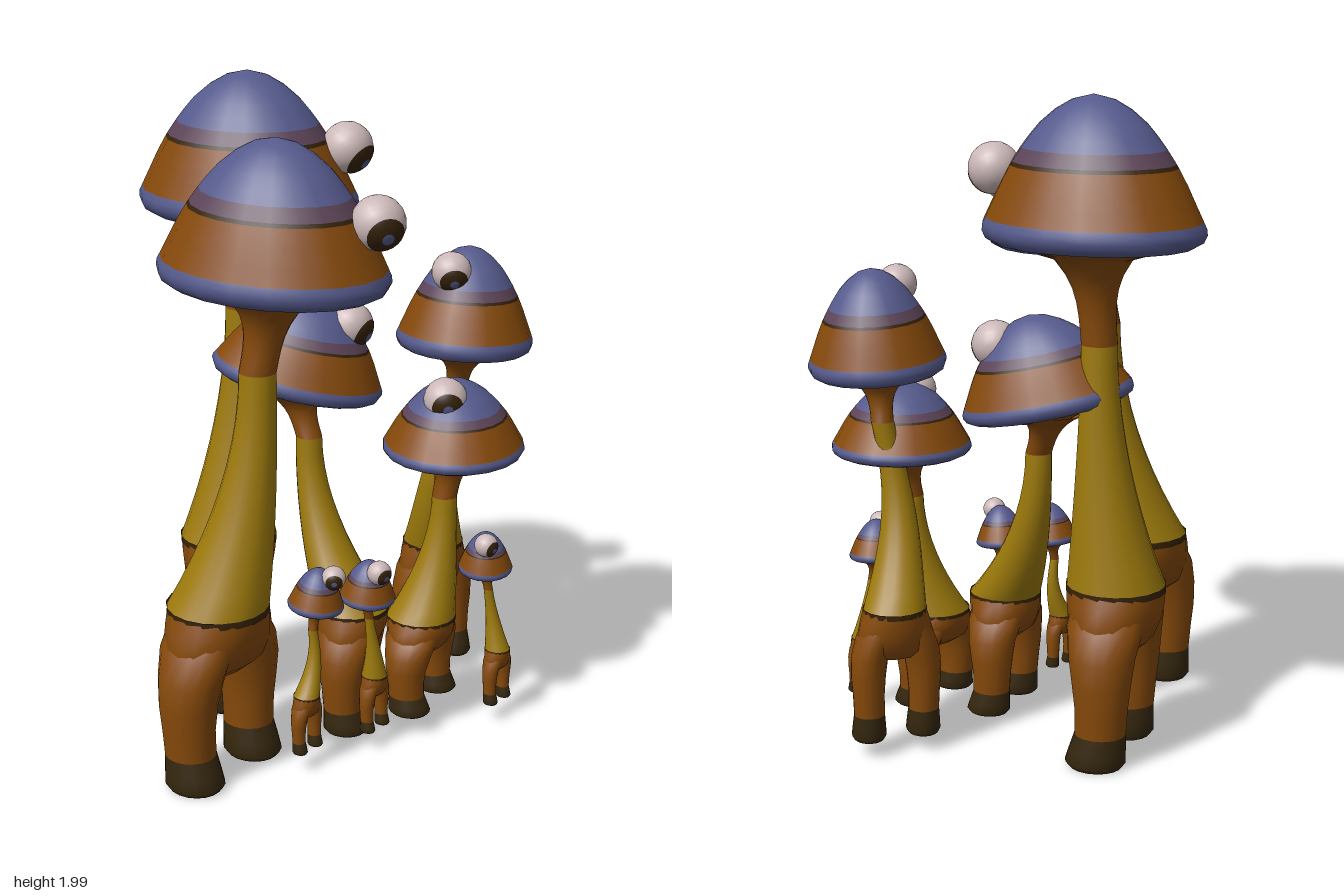
import * as THREE from 'three';

const mat = (name, color, side = THREE.DoubleSide) => {
  const m = new THREE.MeshStandardMaterial({ color, side });
  m.name = name;
  return m;
};
const brown = mat('brown', 0x85490a);
const yellow = mat('yellow', 0x9d7a0c);
const blue = mat('blue', 0x555a8c);
const mauve = mat('mauve', 0x5c4458);
const line = mat('darkLine', 0x35220a);
const hoof = mat('hoof', 0x35270e, THREE.FrontSide);
const white = mat('eyeWhite', 0xccb8b8, THREE.FrontSide);

const add = (parent, name, geo, material) => {
  const m = new THREE.Mesh(geo, material);
  m.name = name;
  parent.add(m);
};

// Skin over level oval rings [x, y, z, rSide, rForward], listed from low to high
function skin(rings, angle = 0, n = 18) {
  const pos = [], idx = [];
  const c = Math.cos(angle), s = Math.sin(angle);
  rings.forEach(([x, y, z, ru, rf], j) => {
    for (let i = 0; i < n; i++) {
      const t = (i / n) * Math.PI * 2, a = ru * Math.cos(t), b = rf * Math.sin(t);
      pos.push(x + a * c - b * s, y, z + a * s + b * c);
      if (j === rings.length - 1) continue;
      const p = j * n + i, q = j * n + ((i + 1) % n);
      idx.push(p, p + n, q, q, p + n, q + n);
    }
  });
  const g = new THREE.BufferGeometry();
  g.setAttribute('position', new THREE.Float32BufferAttribute(pos, 3));
  g.setIndex(idx);
  g.computeVertexNormals();
  return g;
}

// Cap of unit radius and height, turned on a lathe one colour band at a time
function cap({ at, size, yaw, tilt }) {
  const g = new THREE.Group();
  g.name = 'cap';
  const band = (name, m, ...pts) =>
    add(g, name, new THREE.LatheGeometry(pts.map(p => new THREE.Vector2(...p)), 20), m);
  band('capUnderside', brown, [0.15, -0.12], [0.34, -0.06], [0.55, -0.01], [0.74, 0.03]);
  band('capUnderLine', line, [0.74, 0.03], [0.77, 0.035]);
  band('capRim', blue, [0.77, 0.035], [0.9, 0.04], [0.97, 0.07], [1, 0.12], [0.995, 0.16], [0.97, 0.2]);
  band('capSide', brown, [0.97, 0.2], [0.9, 0.31], [0.825, 0.43], [0.745, 0.54]);
  band('capLine', line, [0.745, 0.54], [0.725, 0.565]);
  band('capBand', mauve, [0.725, 0.565], [0.645, 0.655]);
  band('capTop', blue, [0.645, 0.655], [0.57, 0.73], [0.48, 0.81], [0.34, 0.9], [0.19, 0.965], [0, 1]);
  g.position.set(...at);
  g.rotation.set(tilt, yaw, 0, 'YXZ');
  g.scale.set(...size);
  return g;
}

// Eyeball with a wide dark pupil and a small iris, looking along look
function eye({ at, r, look }) {
  const g = new THREE.Group();
  g.name = 'eye';
  const dome = (scale, reach) => new THREE.SphereGeometry(r * scale, 20, 6, 0, Math.PI * 2, 0, reach);
  add(g, 'eyeball', new THREE.SphereGeometry(r, 20, 14), white);
  add(g, 'pupil', dome(1.02, 0.76), line);
  add(g, 'iris', dome(1.04, 0.22), blue);
  g.position.set(...at);
  g.quaternion.setFromUnitVectors(new THREE.Vector3(0, 1, 0), new THREE.Vector3(...look).normalize());
  return g;
}

// turn sets the line through the feet, bow bends the trunk sideways
function creature({ name, ground, hip, hipR: R, turn, neckY, bow = 0, cap: capSpec, eye: eyeSpec }) {
  const g = new THREE.Group();
  g.name = name;
  const [hx, hy, hz] = hip, [cx, cy, cz] = capSpec.at, { lerp } = THREE.MathUtils;
  const H = hy - ground;
  const nx = lerp(cx, hx, 0.27), nz = lerp(cz, hz, 0.25);

  // Trunk narrows quickly, then runs straight up to the neck
  const trunk = Array.from({ length: 11 }, (_, i) => {
    const t = i / 10, ease = 1 - (1 - t) ** 2;
    const r = R * (0.36 + 0.64 * (1 - t) ** 1.8);
    return [lerp(hx, nx, ease) + bow * Math.sin(Math.PI * t), lerp(hy, neckY, t), lerp(hz, nz, ease), r, r];
  });
  add(g, 'trunk', skin(trunk), yellow);

  // Neck flares into the underside of the cap
  const w = (capSpec.size[0] + capSpec.size[2]) / 2;
  const neck = Array.from({ length: 8 }, (_, i) => {
    const t = i / 7 * 1.03, r = R * 0.36 + (w * 0.5 - R * 0.36) * (i / 7) ** 3.5;
    return [lerp(nx, cx, t), lerp(neckY, cy, t), lerp(nz, cz, t), r, r];
  });
  add(g, 'neck', skin(neck), brown);

  // Belt line between trunk and hips
  const k = R * 1.012;
  add(g, 'beltLine', skin([[hx, hy - 0.025 * H, hz, k, k], [hx, hy + 0.015 * H, hz, k, k]]), line);

  // Hips, as [height, side radius, forward radius]
  const hips = [[0.6, 0.02, 0.02], [0.64, 0.7, 0.5], [0.7, 1.2, 0.74], [0.82, 1.22, 0.92], [0.92, 1.11, 0.98], [1, 1, 1]];
  add(g, 'hips', skin(hips.map(([f, a, b]) => [hx, ground + f * H, hz, R * a, R * b]), turn), brown);

  // Two bowed legs with dark hooves, as [height, outward, forward, side radius, forward radius]
  const leg = [[0.2, 1.02, 0, 0.49, 0.52], [0.35, 1.04, -0.02, 0.5, 0.54], [0.5, 1.04, -0.02, 0.55, 0.6],
    [0.65, 0.97, 0, 0.58, 0.68], [0.8, 0.76, 0, 0.58, 0.78], [0.93, 0.5, 0, 0.5, 0.76]];
  const foot = [[0, 1.02, 0.1, 0.01, 0.01], [0.001, 1.02, 0.1, 0.48, 0.54], [0.03, 1.02, 0.1, 0.55, 0.62],
    [0.1, 1.02, 0.06, 0.53, 0.58], [0.2, 1.02, 0, 0.49, 0.52]];
  for (const side of [-1, 1]) {
    const ring = ([f, out, fwd, a, b]) => {
      const u = side * out * 0.88 * R, v = fwd * R;
      return [hx + u * Math.cos(turn) - v * Math.sin(turn), ground + f * H,
        hz + u * Math.sin(turn) + v * Math.cos(turn), R * a, R * b];
    };
    add(g, 'leg', skin(leg.map(ring), turn), brown);
    add(g, 'hoof', skin(foot.map(ring), turn), hoof);
  }

  g.add(cap(capSpec), eye(eyeSpec));
  return g;
}

// The little ones share their heights and sizes
const smallCreature = (name, [cx, cz], [hx, hz], yaw, lookX) => creature({
  name, ground: 0.07, hip: [hx, 0.245, hz], hipR: 0.039, turn: -0.25, neckY: 0.445, bow: 0.01,
  cap: { at: [cx, 0.505, cz], size: [0.083, 0.135, 0.084], yaw, tilt: 0.1 },
  eye: { at: [cx + 0.058 * Math.sin(yaw), 0.615, cz + 0.058 * Math.cos(yaw)], r: 0.036, look: [lookX, -0.2, 0.9] },
});

export function createModel() {
  const model = new THREE.Group();
  model.name = 'mushroomCreatureFamily';
  model.add(creature({
    name: 'tallFrontCreature', ground: 0.01, hip: [-0.435, 0.54, 0.17], hipR: 0.15, turn: -0.3, neckY: 1.24,
    cap: { at: [-0.27, 1.47, 0.22], size: [0.27, 0.435, 0.34], yaw: 0.52, tilt: 0.03 },
    eye: { at: [-0.095, 1.69, 0.47], r: 0.077, look: [-0.25, -0.4, 0.9] },
  }));
  model.add(creature({
    name: 'tallBackCreature', ground: 0.01, hip: [-0.115, 0.54, -0.255], hipR: 0.15, turn: -0.74, neckY: 1.28,
    cap: { at: [-0.035, 1.56, -0.245], size: [0.275, 0.44, 0.34], yaw: 0.55, tilt: 0 },
    eye: { at: [0.175, 1.78, -0.03], r: 0.077, look: [0.25, -0.55, 0.8] },
  }));
  model.add(creature({
    name: 'middleCreature', ground: 0.04, hip: [0.045, 0.41, 0.18], hipR: 0.112, turn: -0.66, neckY: 0.91,
    cap: { at: [0.02, 1.05, -0.085], size: [0.2, 0.3, 0.265], yaw: 0.9, tilt: 0.22 },
    eye: { at: [0.15, 1.25, 0.02], r: 0.072, look: [0.35, -0.4, 0.85] },
  }));
  model.add(creature({
    name: 'lowRightCreature', ground: 0.07, hip: [0.25, 0.36, 0.265], hipR: 0.106, turn: -0.45, neckY: 0.74,
    cap: { at: [0.35, 0.87, 0.28], size: [0.215, 0.24, 0.225], yaw: -0.8, tilt: 0.02 },
    eye: { at: [0.29, 1.065, 0.31], r: 0.066, look: [-0.5, -0.2, 0.8] },
  }));
  model.add(creature({
    name: 'highRightCreature', ground: 0.06, hip: [0.485, 0.47, 0.03], hipR: 0.095, turn: 0.12, neckY: 1.02, bow: -0.04,
    cap: { at: [0.46, 1.15, 0.185], size: [0.21, 0.33, 0.205], yaw: -1.3, tilt: -0.07 },
    eye: { at: [0.385, 1.42, 0.21], r: 0.06, look: [-0.45, -0.45, 0.8] },
  }));
  model.add(smallCreature('smallLeftCreature', [-0.18, 0.3], [-0.225, 0.32], 0.55, -0.6));
  model.add(smallCreature('smallMiddleCreature', [-0.02, 0.34], [0.02, 0.33], 0, 0));
  model.add(smallCreature('smallRightCreature', [0.405, 0.38], [0.44, 0.41], -0.7, 0.1));
  return model;
}
